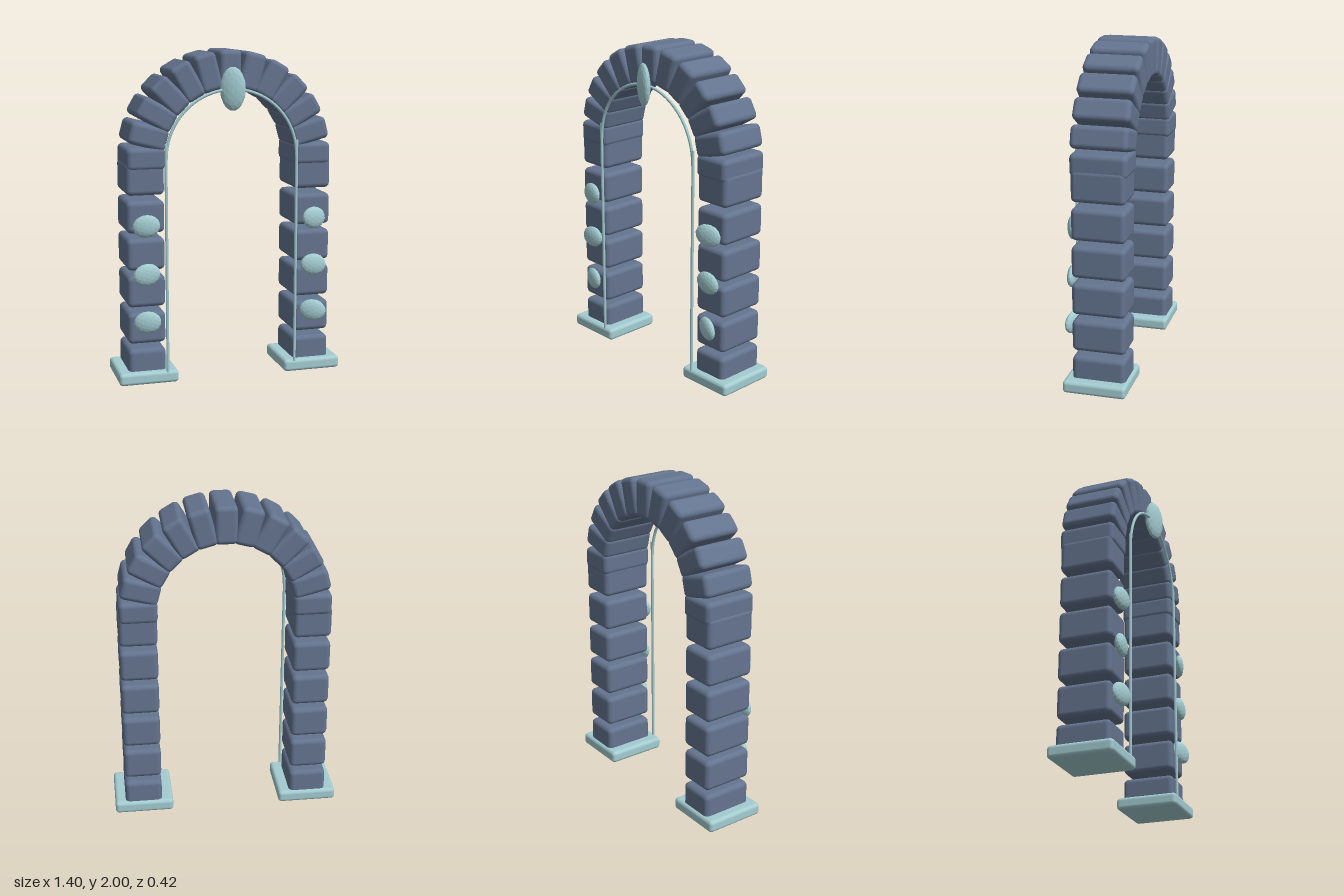
import * as THREE from 'three';
import { RoundedBoxGeometry } from 'three/addons/geometries/RoundedBoxGeometry.js';

const SPRING = 1.37; // height where the arch starts
const MID_Z = -0.033;

export function createModel() {
  const model = new THREE.Group();
  model.name = 'stoneArch';
  const stone = new THREE.MeshStandardMaterial({ color: 0x64748f });
  stone.name = 'slate stone';
  const crystal = new THREE.MeshStandardMaterial({ color: 0xa3ccd1 });
  crystal.name = 'pale teal';
  const facetedCrystal = new THREE.MeshStandardMaterial({ color: 0xa3ccd1, flatShading: true });
  facetedCrystal.name = 'pale teal';

  const add = (name, geometry, material, x, y, z) => {
    const mesh = new THREE.Mesh(geometry, material);
    mesh.name = name;
    mesh.position.set(x, y, z);
    model.add(mesh);
    return mesh;
  };

  // Plinths, stacked pillar blocks and trim rods on both sides
  const plinth = new RoundedBoxGeometry(0.365, 0.076, 0.382, 3, 0.022);
  const block = new RoundedBoxGeometry(0.23, 0.193, 0.322, 3, 0.03);
  const rod = new THREE.CylinderGeometry(0.009, 0.009, 1.4, 10);
  for (const side of [-1, 1]) {
    const label = side > 0 ? 'left' : 'right';
    add(label + 'Plinth', plinth, crystal, side * 0.52, 0.04, -0.021);
    for (let i = 0; i < 6; i++) {
      add(label + 'PillarBlock', block, stone, side * 0.522, 0.118 + i * 0.2265, MID_Z);
    }
    add(label + 'TrimRod', rod, crystal, side * 0.405, 0.76, 0.158);
  }

  // Thirteen arch stones, one every 15 degrees
  const archStone = new RoundedBoxGeometry(0.23, 0.135, 0.338, 3, 0.03);
  for (let i = 0; i <= 12; i++) {
    const a = (i * Math.PI) / 12;
    const r = 0.517;
    add('archStone', archStone, stone, Math.cos(a) * r, SPRING + Math.sin(a) * r, MID_Z).rotation.z = a;
  }

  // Curved trim inside the arch
  add('archTrim', new THREE.TorusGeometry(0.403, 0.009, 8, 48, Math.PI), crystal, 0, SPRING, 0.158);

  // Faceted gems: x, y, z, half sizes, yaw, roll
  const gemShape = new THREE.IcosahedronGeometry(1, 2);
  const gem = (name, x, y, z, size, yaw, roll) => {
    const mesh = add(name, gemShape, facetedCrystal, x, y, z);
    mesh.scale.set(...size);
    mesh.rotation.set(0, yaw, roll);
  };
  gem('keystoneGem', 0, 1.776, 0.169, [0.077, 0.13, 0.032], -0.38, 0);
  const heights = [0.387, 0.68, 0.975];
  const leftYaw = [-0.3, 0.02, 0.28];
  const rightYaw = [-0.25, 0.05, -0.15];
  heights.forEach((y, i) => {
    gem('leftPillarGem', 0.525, y, 0.148, [0.083, 0.068, 0.03], leftYaw[i], -0.15);
    gem('rightPillarGem', -0.525, y, 0.148, [0.083, 0.068, 0.03], rightYaw[i], 0.15);
  });

  return model;
}
